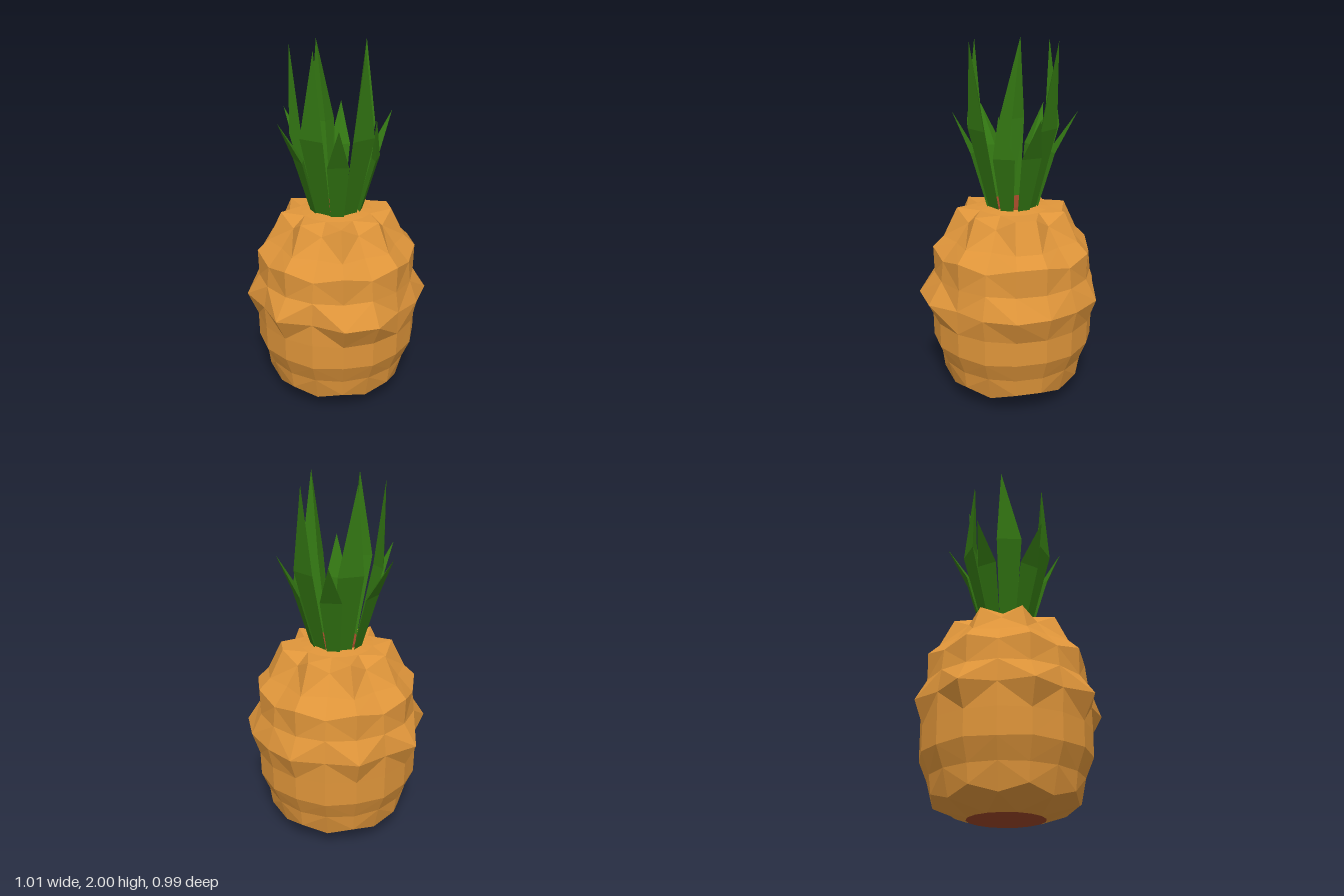
import * as THREE from 'three';

const CX = -0.01, CZ = -0.03; // axis of the fruit
const SEG = 17, START = -6 * Math.PI / 180;

function mat(color) {
  return new THREE.MeshStandardMaterial({ color, flatShading: true });
}

function flatGeometry(points) {
  const g = new THREE.BufferGeometry();
  g.setAttribute('position', new THREE.Float32BufferAttribute(points.flat(), 3));
  g.computeVertexNormals();
  return g;
}

// Faceted rind: rings joined by quads, ridges zigzag between points and valleys
function rind() {
  // [y, radius, zigzag in y, zigzag in radius]
  const profile = [
    [0.035, 0.205, 0, 0],
    [0.112, 0.385, 0.02, 0.012],
    [0.23, 0.41, 0, 0],
    [0.34, 0.455, 0.004, 0],
    [0.48, 0.457, 0, 0],
    [0.61, 0, 0.004, 0],
    [0.73, 0.442, 0, 0],
    [0.862, 0.438, 0.018, 0.008],
    [0.94, 0.365, 0, 0.02],
    [1.07, 0.29, 0.03, 0.018],
    [1.1, 0.2, 0, 0],
    [1.112, 0.115, 0, 0],
  ];
  // radii around the widest ridge
  const widest = [0.515, 0.485, 0.46, 0.52, 0.53, 0.455, 0.525, 0.465, 0.515,
    0.455, 0.52, 0.46, 0.505, 0.46, 0.505, 0.485, 0.5];
  const rings = profile.map(([y, r, zy, zr]) =>
    Array.from({ length: SEG }, (_, i) => {
      const s = i % 2 ? -1 : 1, a = START + (i / SEG) * Math.PI * 2;
      const rad = r ? r + s * zr : widest[i];
      return [CX + rad * Math.cos(a), y + s * zy, CZ + rad * Math.sin(a)];
    }));
  const pts = [];
  for (let k = 0; k < rings.length - 1; k++) {
    for (let i = 0; i < SEG; i++) {
      const j = (i + 1) % SEG;
      const a = rings[k][i], b = rings[k][j], c = rings[k + 1][i], d = rings[k + 1][j];
      if (i % 2) pts.push(a, c, b, b, c, d);
      else pts.push(a, c, d, a, d, b);
    }
  }
  return flatGeometry(pts);
}

// Solid pointed leaf: flat outer face, ridge along the inner side, closed at the tip
function leaf(deg, foot, mid, tip) {
  const a = deg * Math.PI / 180;
  const row = ({ r, y, w, t }) => [[r, -w], [r - t, 0], [r, w]].map(([d, s]) => [
    CX + d * Math.cos(a) - s * Math.sin(a), y, CZ + d * Math.sin(a) + s * Math.cos(a)]);
  const lower = row(foot), upper = row(mid), pts = [];
  for (let i = 0; i < 3; i++) {
    const j = (i + 2) % 3;
    pts.push(lower[i], upper[i], lower[j], lower[j], upper[i], upper[j], upper[i], tip, upper[j]);
  }
  return flatGeometry(pts);
}

export function createModel() {
  const model = new THREE.Group();
  const add = (name, geometry, material, parent = model) => {
    const m = new THREE.Mesh(geometry, material);
    m.name = name;
    parent.add(m);
  };

  add('rind', rind(), mat(0xdf953a));

  // Core showing at the top and the shallow base
  const red = mat(0x9a4426);
  add('crownCore', new THREE.CylinderGeometry(0.125, 0.13, 0.03, SEG).translate(CX, 1.11, CZ), red);
  add('base', new THREE.ConeGeometry(0.205, 0.036, SEG).rotateX(Math.PI).translate(CX, 0.018, CZ), red);

  const crown = new THREE.Group();
  crown.name = 'crown';
  model.add(crown);
  const green = mat(0x327512);

  // Tall upright leaves: [angle, tip x, tip z]
  const tallFoot = { r: 0.128, y: 1.1, w: 0.045, t: 0.03 };
  const tallMid = { r: 0.245, y: 1.55, w: 0.07, t: 0.055 };
  const tall = [[48, 0.16, 0.18], [115, -0.1, 0.18], [176, -0.26, -0.06], [245, -0.14, -0.22], [306, 0.13, -0.27]];
  tall.forEach(([deg, x, z]) => add('tallLeaf', leaf(deg, tallFoot, tallMid, [x, 2, z]), green, crown));

  // Short leaves spreading outward
  const shortFoot = { r: 0.14, y: 1.1, w: 0.035, t: 0.025 };
  const shortMid = { r: 0.23, y: 1.41, w: 0.058, t: 0.035 };
  const short = [[81, 0.04, 0.29], [146, -0.29, 0.17], [208, -0.32, -0.19],
    [269, -0.02, -0.38], [331, 0.28, -0.19], [8, 0.21, 0.03]];
  short.forEach(([deg, x, z]) => add('shortLeaf', leaf(deg, shortFoot, shortMid, [x, 1.63, z]), green, crown));

  return model;
}
